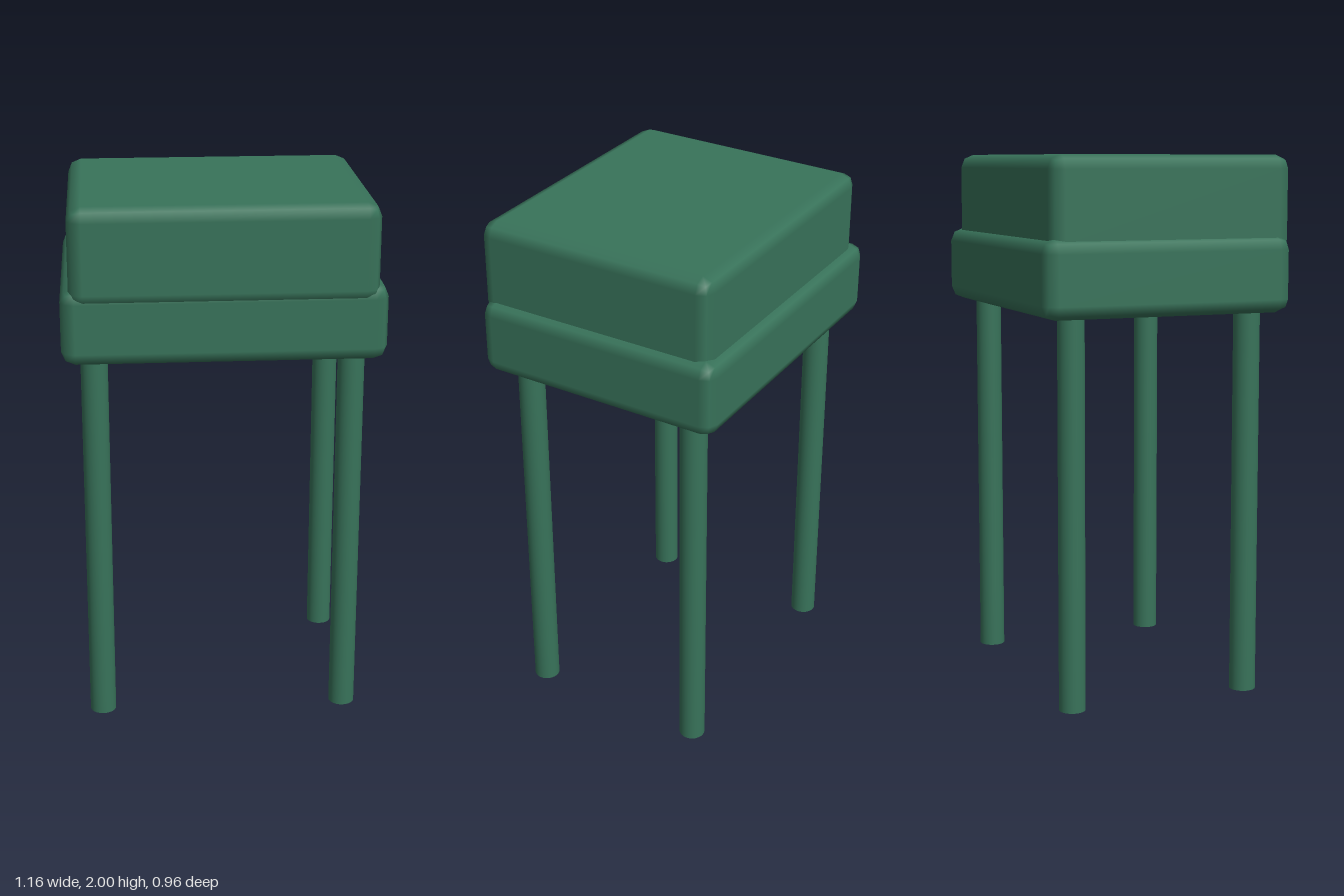
import * as THREE from 'three';
import { RoundedBoxGeometry } from 'three/addons/geometries/RoundedBoxGeometry.js';

export function createModel() {
  const stool = new THREE.Group();
  stool.name = 'stool';
  const green = new THREE.MeshStandardMaterial({ color: 0x38735a });
  green.name = 'green';

  function add(name, geometry, x, y, z) {
    const mesh = new THREE.Mesh(geometry, green);
    mesh.name = name;
    mesh.position.set(x, y, z);
    stool.add(mesh);
  }

  // Seat base and the slightly offset cushion on top, both with softened edges
  add('seat', new RoundedBoxGeometry(1.16, 0.28, 0.955, 1, 0.05), 0, 1.57, -0.006);
  add('cushion', new RoundedBoxGeometry(1.094, 0.355, 0.928, 1, 0.05), -0.002, 1.8225, 0.016);

  // Four straight round legs
  const legHeight = 1.45;
  const leg = new THREE.CylinderGeometry(0.049, 0.049, legHeight, 24);
  for (const [side, x] of [['Left', 0.465], ['Right', -0.465]]) {
    add('front' + side + 'Leg', leg, x, legHeight / 2, 0.34);
    add('back' + side + 'Leg', leg, x, legHeight / 2, -0.35);
  }
  return stool;
}
